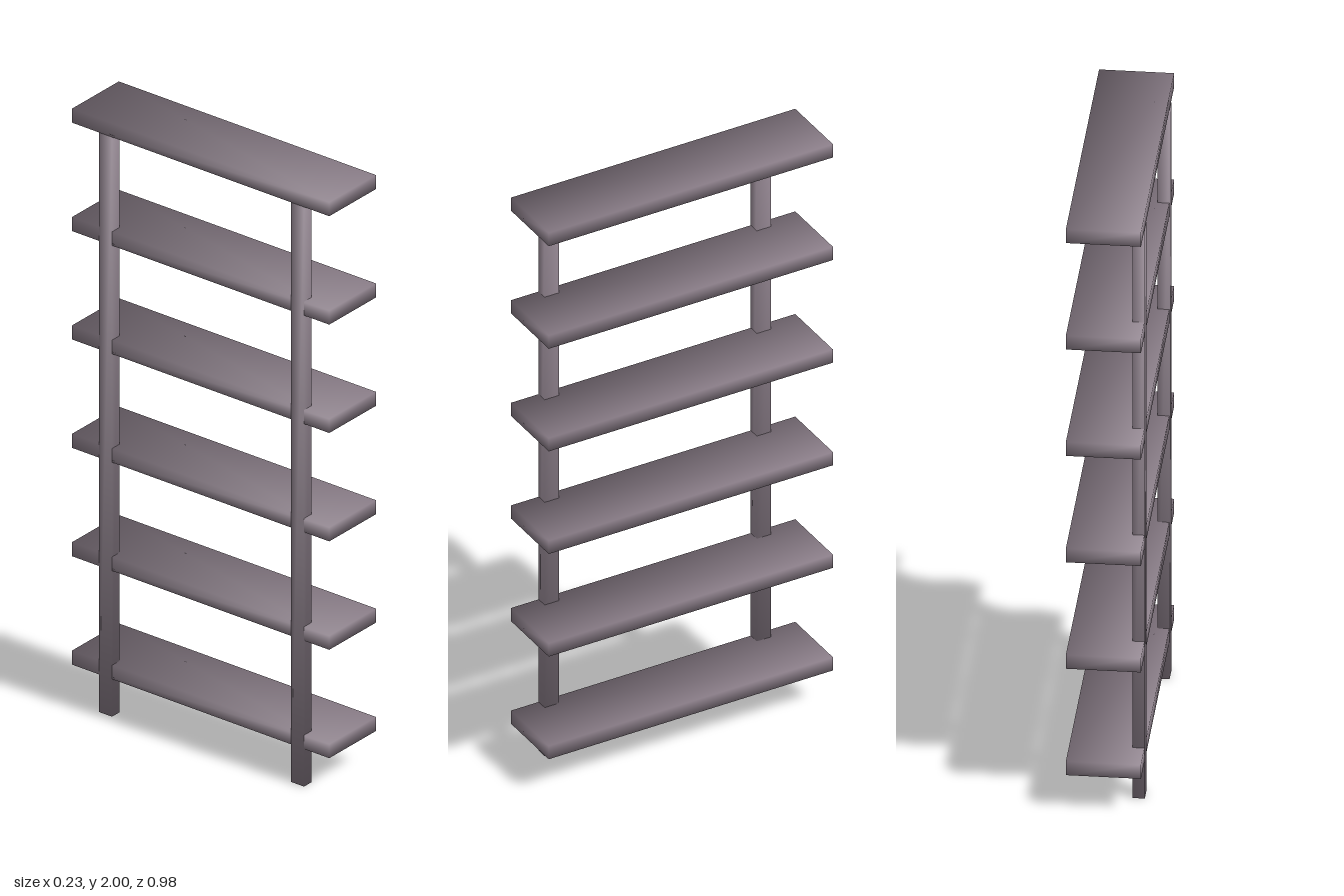
import * as THREE from 'three';

const material = new THREE.MeshStandardMaterial({ color: 0x8c7f8a });

// Box whose corner normals point diagonally outward, for soft smooth shading
function softBox(name, w, h, d, x, y, z) {
  const geometry = new THREE.BoxGeometry(w, h, d);
  const p = geometry.attributes.position;
  const n = geometry.attributes.normal;
  const v = new THREE.Vector3();
  for (let i = 0; i < p.count; i++) {
    v.set(Math.sign(p.getX(i)), Math.sign(p.getY(i)), Math.sign(p.getZ(i))).normalize();
    n.setXYZ(i, v.x, v.y, v.z);
  }
  const mesh = new THREE.Mesh(geometry, material);
  mesh.name = name;
  mesh.position.set(x, y, z);
  return mesh;
}

export function createModel() {
  const group = new THREE.Group();
  group.name = 'shelfRack';

  // Six evenly spaced boards
  const thickness = 0.047, spacing = 0.3654;
  for (let i = 0; i < 6; i++) {
    const y = 2 - thickness / 2 - (5 - i) * spacing;
    group.add(softBox('shelf' + (i + 1), 0.226, thickness, 0.982, 0, y, 0));
  }

  // Two uprights along the back edge, reaching the underside of the top board
  const height = 2 - thickness;
  group.add(softBox('frontPost', 0.037, height, 0.049, -0.0955, height / 2, 0.371));
  group.add(softBox('rearPost', 0.037, height, 0.049, -0.0955, height / 2, -0.362));

  return group;
}
